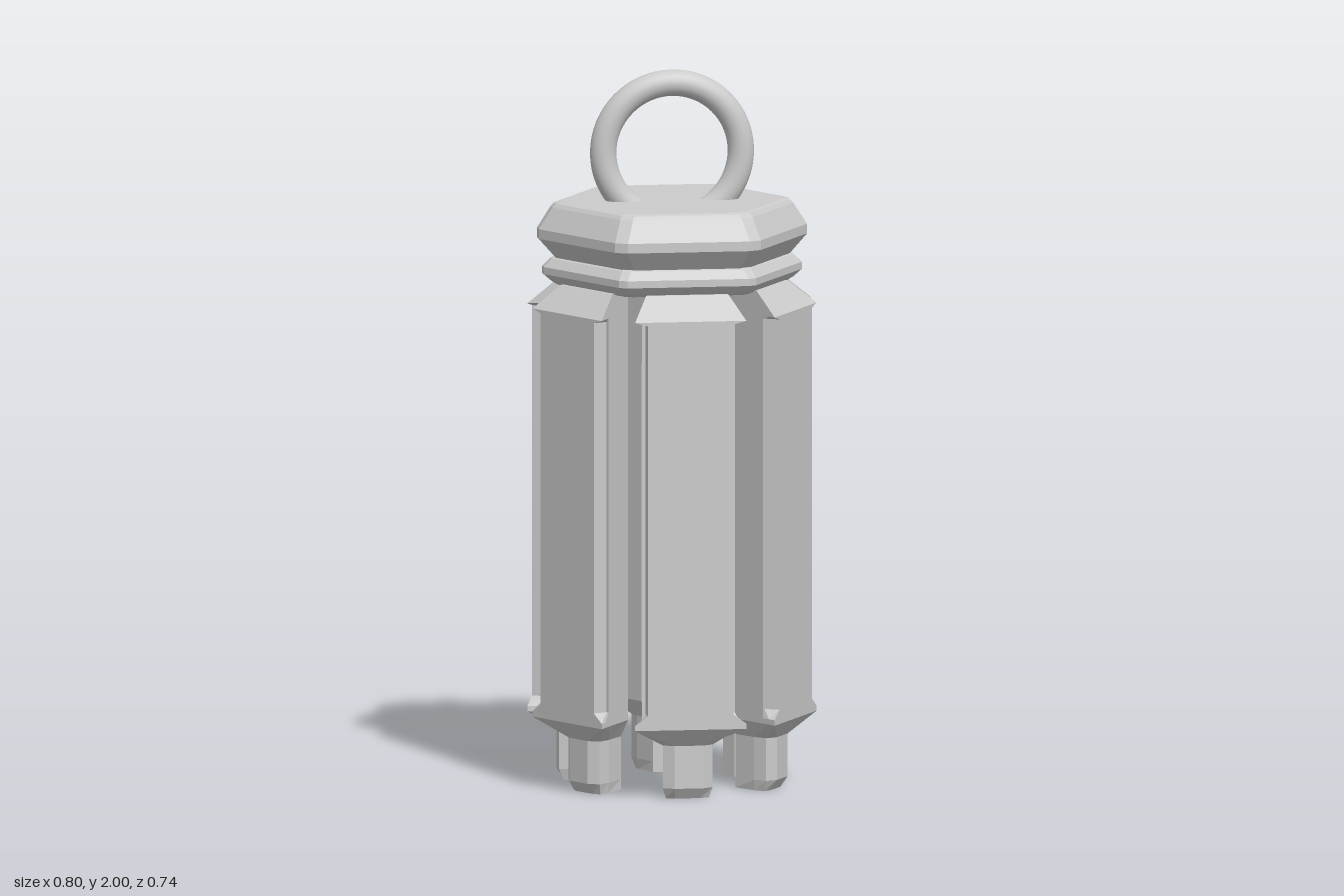
import * as THREE from 'three';

const flat = new THREE.MeshStandardMaterial({ color: 0xcccccc, flatShading: true });
const smooth = new THREE.MeshStandardMaterial({ color: 0xcccccc });

// Loft closed sections [y, [[x, z], ...]] listed from bottom to top, with both ends capped
function loft(sections) {
  const pos = [];
  const n = sections[0][1].length;
  const point = (i, j) => {
    const [y, pts] = sections[i];
    const [x, z] = pts[j % n];
    return [x, y, z];
  };
  const centre = (i) => {
    const pts = sections[i][1];
    const sum = (k) => pts.reduce((s, p) => s + p[k], 0) / n;
    return [sum(0), sections[i][0], sum(1)];
  };
  const tri = (a, b, c) => pos.push(...a, ...b, ...c);
  const top = sections.length - 1;
  for (let j = 0; j < n; j++) {
    for (let i = 0; i < top; i++) {
      tri(point(i, j), point(i, j + 1), point(i + 1, j + 1));
      tri(point(i, j), point(i + 1, j + 1), point(i + 1, j));
    }
    tri(centre(top), point(top, j), point(top, j + 1));
    tri(centre(0), point(0, j + 1), point(0, j));
  }
  const g = new THREE.BufferGeometry();
  g.setAttribute('position', new THREE.Float32BufferAttribute(pos, 3));
  g.computeVertexNormals();
  return g;
}

function part(name, geometry, material = flat) {
  const mesh = new THREE.Mesh(geometry, material);
  mesh.name = name;
  return mesh;
}

// Hexagon with flats facing +-z, given its apothem, with small cut corners
function hexagon(apothem, cut) {
  const half = apothem / Math.sqrt(3) - cut;
  const pts = [];
  for (let k = 0; k < 6; k++) {
    const a = k * Math.PI / 3, s = Math.sin(a), c = Math.cos(a);
    for (const u of [-half, half]) pts.push([apothem * s + u * c, apothem * c - u * s]);
  }
  return pts;
}
const hexStack = (rows, cut) => loft(rows.map(([y, a]) => [y, hexagon(a, cut)]));

// Half width of a 60 degree wedge at distance r, leaving a gap to its neighbours
const wedge = (r) => (0.5 * r - 0.05) / 0.866;
const mirror = (right) => [...right, ...right.slice().reverse().map(([x, z]) => [-x, z])];

const wedgeSection = (outer, mid, inner) =>
  mirror([outer, (outer + mid) / 2, mid, inner].map((r) => [wedge(r), r]));
const fullSection = wedgeSection(0.37, 0.325, 0.2);
// Side edges stepped back for the long grooves
const groovedSection = mirror([[0.12, 0.37], [0.12, 0.325], [wedge(0.325), 0.325], [wedge(0.2), 0.2]]);
const footSection = mirror([[0.04, 0.33], [0.07, 0.31], [0.06, 0.27], [0.025, 0.2]]);
const footTip = mirror([[0.035, 0.31], [0.06, 0.3], [0.055, 0.27], [0.025, 0.2]]);

export function createModel() {
  const model = new THREE.Group();
  model.name = 'hangingPendant';

  // Six legs around the axis, each with a foot below
  const legGeometry = loft([
    [0.2, fullSection],
    [0.215, fullSection],
    [0.24, groovedSection],
    [1.335, groovedSection],
    [1.345, fullSection],
    [1.41, wedgeSection(0.3, 0.27, 0.2)],
  ]);
  const footGeometry = loft([
    [0, footTip],
    [0.03, footSection],
    [0.15, footSection],
    [0.2, fullSection],
  ]);
  for (let k = 0; k < 6; k++) {
    const leg = new THREE.Group();
    leg.name = 'leg' + (k + 1);
    leg.add(part('legBody', legGeometry), part('foot', footGeometry));
    leg.rotation.y = k * Math.PI / 3;
    model.add(leg);
  }

  // Central plug between the legs
  model.add(part('core', hexStack([[1.19, 0.13], [1.43, 0.13]], 0.004)));

  // Collar ring above the legs
  model.add(part('collar', hexStack(
    [[1.405, 0.285], [1.415, 0.3], [1.435, 0.32], [1.455, 0.32], [1.478, 0.3], [1.485, 0.285]], 0.015)));

  // Cap with sloped underside and bevelled top
  model.add(part('cap', hexStack(
    [[1.47, 0.285], [1.535, 0.335], [1.562, 0.335], [1.622, 0.302], [1.632, 0.293], [1.636, 0.28]], 0.022)));

  // Hanging ring
  const ring = part('hangingRing', new THREE.TorusGeometry(0.193, 0.037, 20, 64), smooth);
  ring.position.y = 1.77;
  model.add(ring);

  return model;
}
